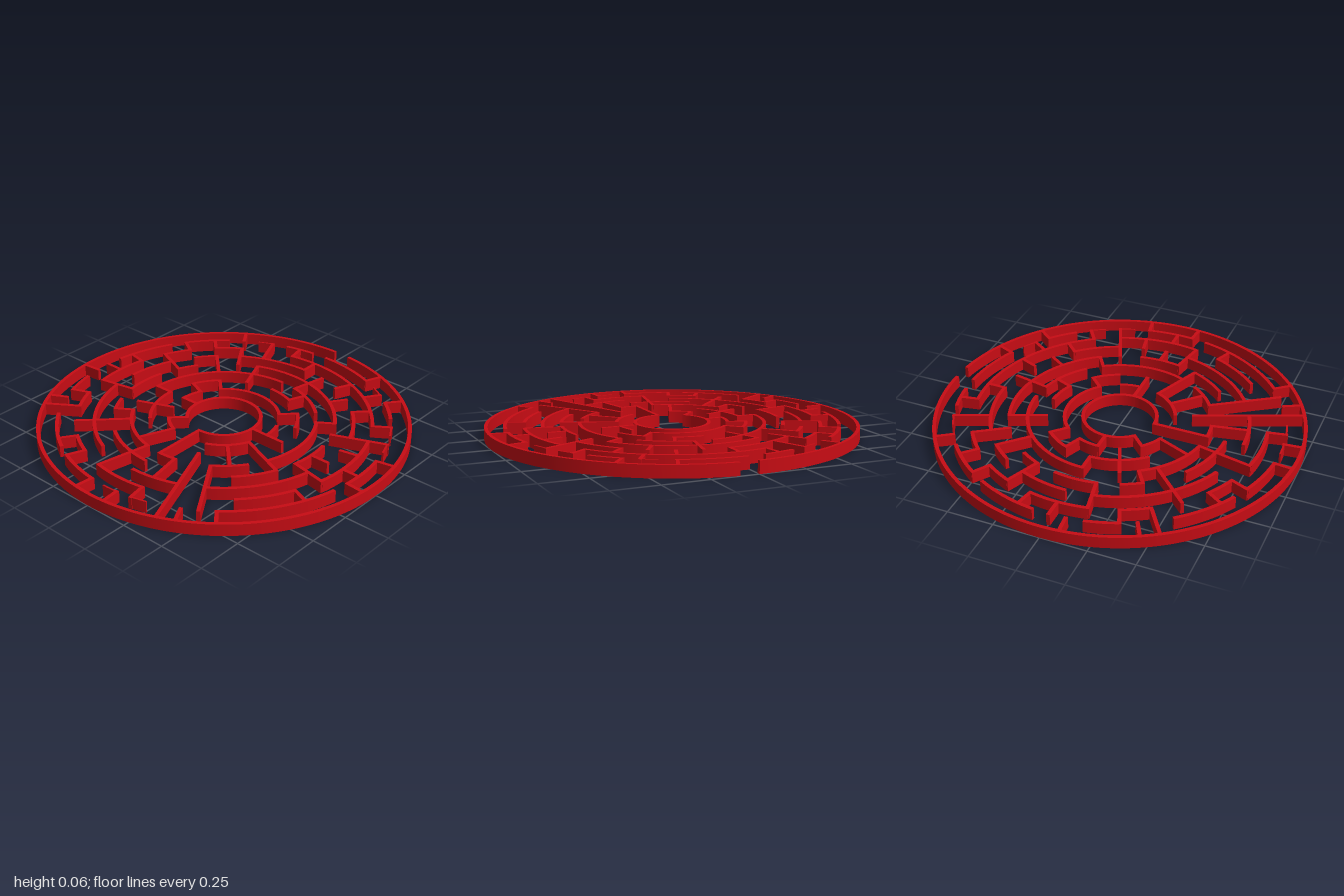
import * as THREE from 'three';
import { toCreasedNormals } from 'three/addons/utils/BufferGeometryUtils.js';

const PITCH = 0.099;            // spacing between rings
const WALL = 0.02;              // wall thickness
const HEIGHT = 0.065;
const STEP = Math.PI * 2 / 64;  // one angular cell, clockwise from the back (-z)

// Curved walls: ring number -> [start, end] in cells
const rings = {
  2: [[40, 96]],
  3: [[56, 72], [12, 16], [20, 28], [36, 40], [48, 52]],
  4: [[0, 4], [8, 12], [40, 48], [52, 56]],
  5: [[2, 8], [10, 20], [22, 26], [30, 32], [34, 42], [48, 64]],
  6: [[60, 74], [14, 18], [20, 24], [32, 38], [42, 44], [46, 50], [52, 54]],
  7: [[8, 12], [18, 26], [28, 32], [36, 46], [48, 52], [54, 56], [58, 64]],
  8: [[62, 74], [12, 18], [20, 24], [30, 34], [36, 38], [42, 44], [46, 50], [52, 54], [56, 58]],
  9: [[0, 4], [5, 6], [7, 9], [10, 11], [12, 13], [14, 17], [18, 25], [29, 30], [31, 32],
    [33, 36], [37, 41], [44, 46], [49, 53], [54, 57], [59, 60], [61, 63]],
  10: [[1, 64]],
};

// Straight walls: 'inner ring-outer ring' -> cells where they stand
const spokes = {
  '2-3': [40, 48], '2-4': [16], '2-5': [32],
  '3-4': [8, 52, 56], '3-5': [24, 36, 44], '3-6': [20],
  '4-5': [4, 48], '4-6': [60], '4-10': [28],
  '5-6': [10, 42], '5-7': [2, 30, 56], '5-8': [34, 40], '5-9': [26],
  '6-7': [6, 16], '6-8': [18, 46, 52, 58], '6-9': [12],
  '7-8': [0, 4, 8, 14], '7-9': [60],
  '8-9': [6, 10, 16, 20, 30, 36, 38, 44, 48, 50, 54, 56, 62], '8-10': [42],
  '9-10': [4, 7, 14, 17, 25, 27, 31, 33, 43, 47, 58],
};

// Arc-shaped slab standing on the ground
function arcWall(radius, start, end) {
  const half = (end - start === 1 ? 0.5 : 1) * WALL / 2; // single-cell walls are thinner
  const a = Math.PI / 2 - start * STEP;
  const b = Math.PI / 2 - end * STEP;
  const shape = new THREE.Shape();
  shape.absarc(0, 0, radius + half, a, b, true);
  shape.absarc(0, 0, radius - half, b, a, false);
  const geometry = new THREE.ExtrudeGeometry(shape, {
    depth: HEIGHT, bevelEnabled: false, curveSegments: (end - start) * 4,
  });
  geometry.rotateX(-Math.PI / 2);
  return toCreasedNormals(geometry, 0.5);
}

// Straight slab running outwards between two radii
function spokeWall(inner, outer, cell) {
  const angle = cell * STEP;
  const geometry = new THREE.BoxGeometry(WALL, HEIGHT, outer - inner + WALL * 0.9);
  geometry.translate(0, HEIGHT / 2, -(inner + outer) / 2);
  geometry.rotateY(-angle);
  return geometry;
}

export function createModel() {
  const model = new THREE.Group();
  model.name = 'circularMaze';
  const red = new THREE.MeshStandardMaterial({ color: 0xc80c14 });

  const add = (parent, geometry, name) => {
    const mesh = new THREE.Mesh(geometry, red);
    mesh.name = name;
    parent.add(mesh);
  };

  const ringWalls = new THREE.Group();
  ringWalls.name = 'ringWalls';
  for (const [ring, arcs] of Object.entries(rings)) {
    const name = ring === '10' ? 'outerWall' : ring === '2' ? 'centreWall' : 'curvedWall';
    for (const [start, end] of arcs) add(ringWalls, arcWall(ring * PITCH, start, end), name);
  }

  const radialWalls = new THREE.Group();
  radialWalls.name = 'radialWalls';
  for (const [span, cells] of Object.entries(spokes)) {
    const [inner, outer] = span.split('-').map((n) => n * PITCH);
    for (const cell of cells) add(radialWalls, spokeWall(inner, outer, cell), 'straightWall');
  }

  model.add(ringWalls, radialWalls);
  return model;
}
